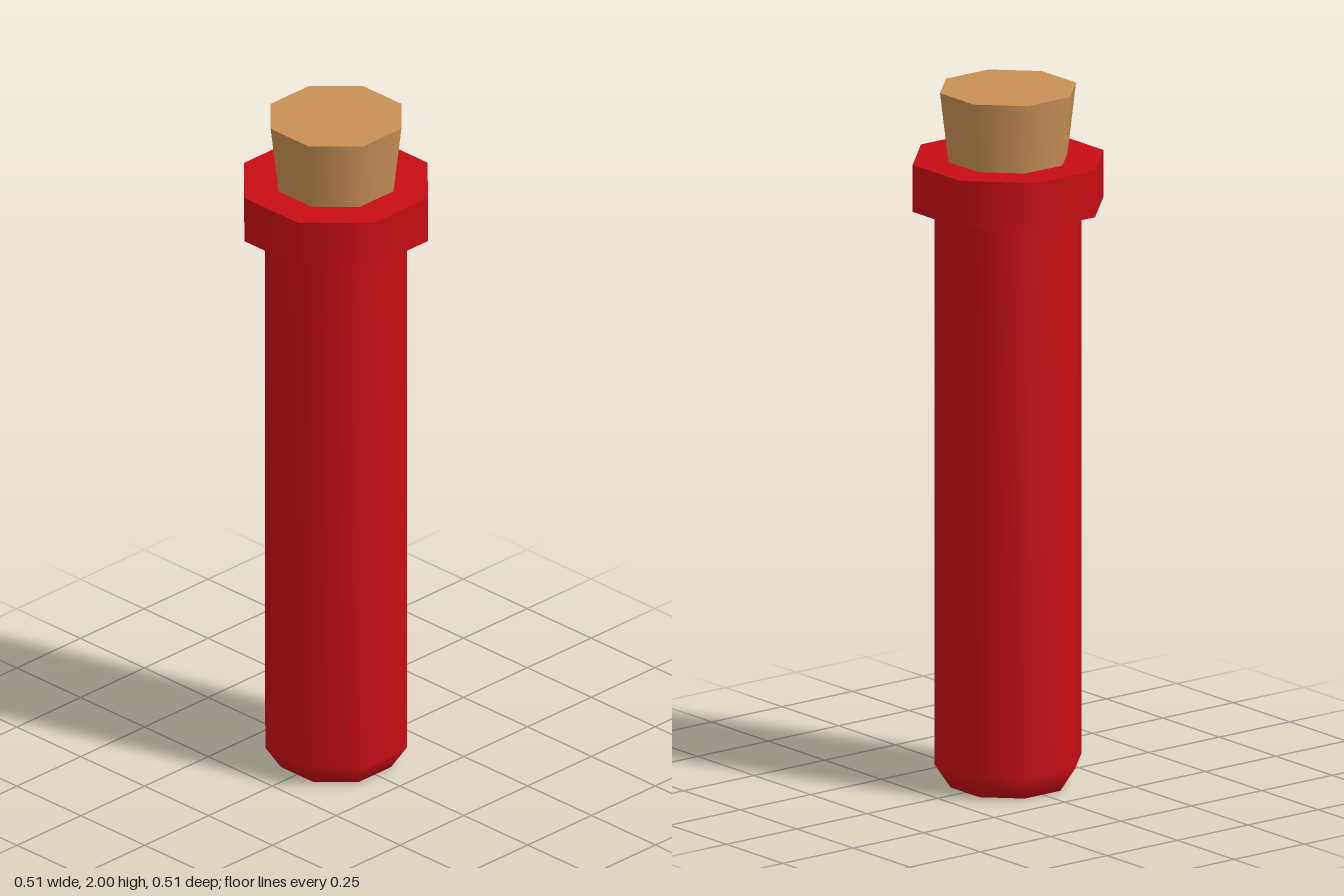
import * as THREE from 'three';

const SIDES = 8;
const red = new THREE.MeshStandardMaterial({ color: 0xc80d14 });
const corkBrown = new THREE.MeshStandardMaterial({ color: 0xc89055 });

// Octagonal lathe with flats facing the axes; each strip is smooth, strips meet in hard edges
function turned(name, material, strips) {
  const group = new THREE.Group();
  group.name = name;
  strips.forEach((strip, i) => {
    const points = strip.map(([r, y]) => new THREE.Vector2(r, y));
    const mesh = new THREE.Mesh(
      new THREE.LatheGeometry(points, SIDES, Math.PI / SIDES, Math.PI * 2),
      material
    );
    mesh.name = `${name}Surface${i + 1}`;
    group.add(mesh);
  });
  return group;
}

export function createModel() {
  const model = new THREE.Group();
  model.name = 'corkedTube';

  // Tube with a softly shaded, tapered foot
  model.add(turned('tube', red, [
    [[0, 0], [0.165, 0], [0.212, 0.07], [0.212, 1.652]],
  ]));

  // Collar: sloped underside, outer wall, top ring
  model.add(turned('collar', red, [
    [[0.212, 1.652], [0.275, 1.665]],
    [[0.275, 1.665], [0.275, 1.8]],
    [[0.275, 1.8], [0.165, 1.8]],
  ]));

  // Stopper flaring upward, with a flat top
  model.add(turned('stopper', corkBrown, [
    [[0.172, 1.8], [0.196, 2]],
    [[0.196, 2], [0, 2]],
  ]));

  return model;
}
